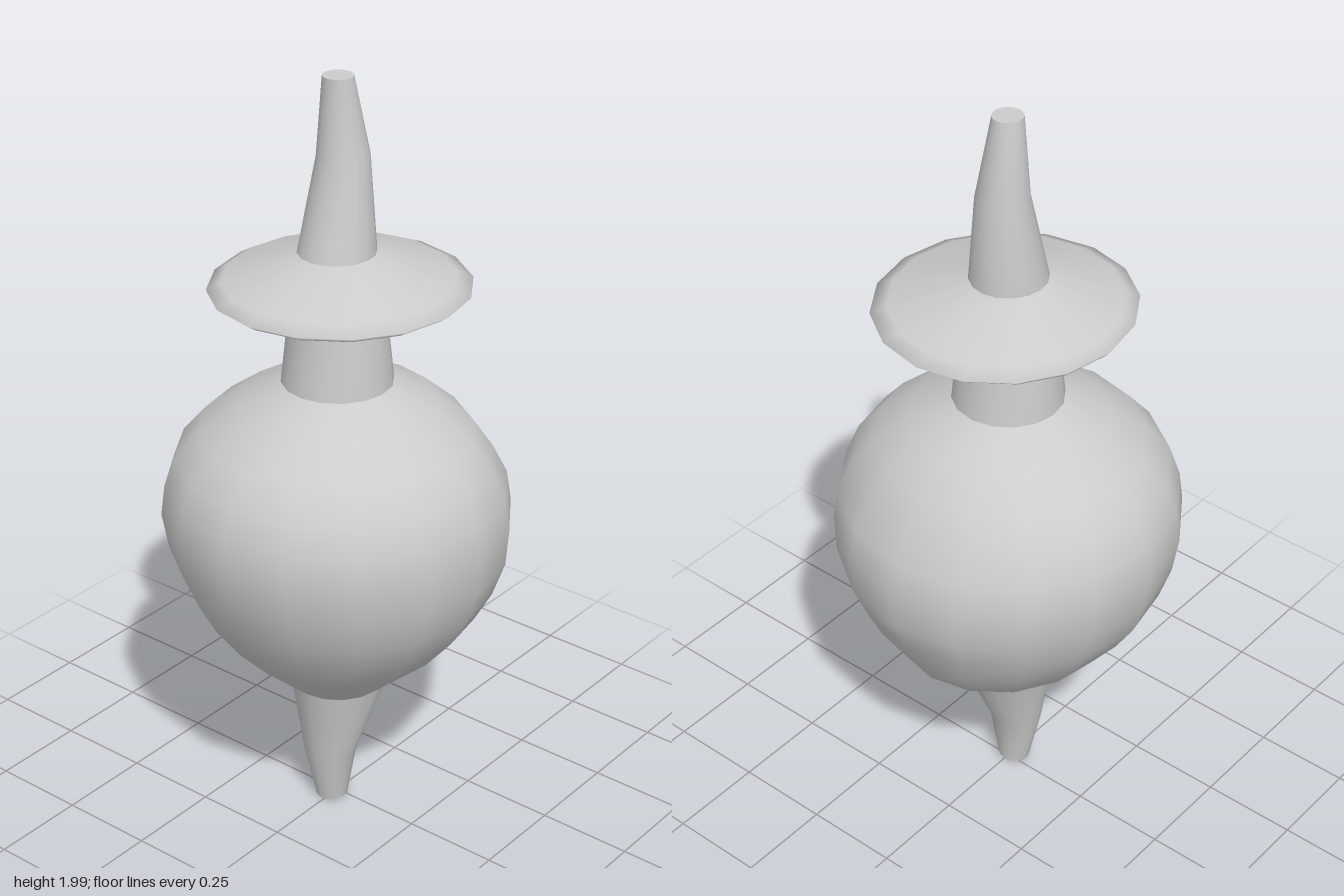
import * as THREE from 'three';

const SIDES = 16;
const material = new THREE.MeshStandardMaterial({ color: 0xcccccc });

// Ring: [y, reach to -x, +x, -z, +z, tilt of y along x]; the centre lies midway
// only for slender parts, so each quadrant is stretched on its own there too.
function ringPoint(ring, i, centred) {
  const [y, xn, xp, zn, zp, tilt = 0] = ring;
  const a = (i / SIDES) * Math.PI * 2;
  const s = Math.sin(a), c = Math.cos(a);
  if (centred) {
    const x = (xp - xn) / 2 + s * (xp + xn) / 2;
    return [x, y + tilt * x, (zp - zn) / 2 + c * (zp + zn) / 2];
  }
  return [s * (s > 0 ? xp : xn), y, c * (c > 0 ? zp : zn)];
}

// Smooth skin through rings listed from bottom to top
function loft(name, rings, centred = false) {
  const positions = [], index = [];
  rings.forEach((ring, r) => {
    for (let i = 0; i < SIDES; i++) {
      positions.push(...ringPoint(ring, i, centred));
      if (r === 0) continue;
      const j = (i + 1) % SIDES, lo = (r - 1) * SIDES, hi = r * SIDES;
      index.push(lo + i, lo + j, hi + j, lo + i, hi + j, hi + i);
    }
  });
  return makeMesh(name, positions, index);
}

// Flat end on a ring
function cap(name, ring, up) {
  const positions = [], index = [];
  for (let i = 0; i < SIDES; i++) {
    positions.push(...ringPoint(ring, i, true));
    if (i > 1) index.push(0, ...(up ? [i - 1, i] : [i, i - 1]));
  }
  return makeMesh(name, positions, index);
}

function makeMesh(name, positions, index) {
  const geometry = new THREE.BufferGeometry();
  geometry.setAttribute('position', new THREE.Float32BufferAttribute(positions, 3));
  geometry.setIndex(index);
  geometry.computeVertexNormals();
  const mesh = new THREE.Mesh(geometry, material);
  mesh.name = name;
  return mesh;
}

export function createModel() {
  const group = new THREE.Group();
  group.name = 'turnedFinial';

  // Bent lower tip
  const tip = [
    [0.01, 0.045, 0.04, 0.02, 0.06, 0.1],
    [0.16, 0.077, 0.067, 0.04, 0.09],
    [0.37, 0.12, 0.127, 0.13, 0.125],
  ];
  group.add(loft('lowerTip', tip, true), cap('lowerTipEnd', tip[0], false));

  // Bulb, a little flattened at the upper back and lower front
  group.add(loft('bulb', [
    [0.37, 0.12, 0.127, 0.13, 0.125],
    [0.51, 0.28, 0.285, 0.31, 0.28],
    [0.60, 0.35, 0.36, 0.365, 0.345],
    [0.68, 0.40, 0.405, 0.40, 0.385],
    [0.77, 0.43, 0.435, 0.438, 0.42],
    [0.87, 0.445, 0.445, 0.435, 0.44],
    [0.95, 0.435, 0.435, 0.42, 0.43],
    [1.03, 0.405, 0.405, 0.37, 0.405],
    [1.10, 0.345, 0.345, 0.33, 0.345],
    [1.17, 0.25, 0.25, 0.25, 0.25],
    [1.225, 0.14, 0.14, 0.14, 0.14],
  ]));

  // Neck
  const round = (y, r) => [y, r, r, r, r];
  group.add(loft('neck', [round(1.225, 0.14), round(1.41, 0.12)]));

  // Flared collar with a thin rim
  group.add(loft('collar', [
    round(1.41, 0.12),
    [1.45, 0.245, 0.25, 0.25, 0.25],
    [1.465, 0.29, 0.305, 0.305, 0.305],
    [1.482, 0.305, 0.33, 0.33, 0.33],
    [1.5, 0.275, 0.29, 0.29, 0.29],
    round(1.565, 0.096),
  ]));

  // Bent upper spire
  const spire = [
    [1.565, 0.096, 0.096, 0.096, 0.1],
    [1.80, 0.068, 0.062, 0.09, 0.04],
    [2.0, 0.041, 0.034, 0.044, 0.032],
  ];
  group.add(loft('spire', spire, true), cap('spireEnd', spire[2], true));

  return group;
}
